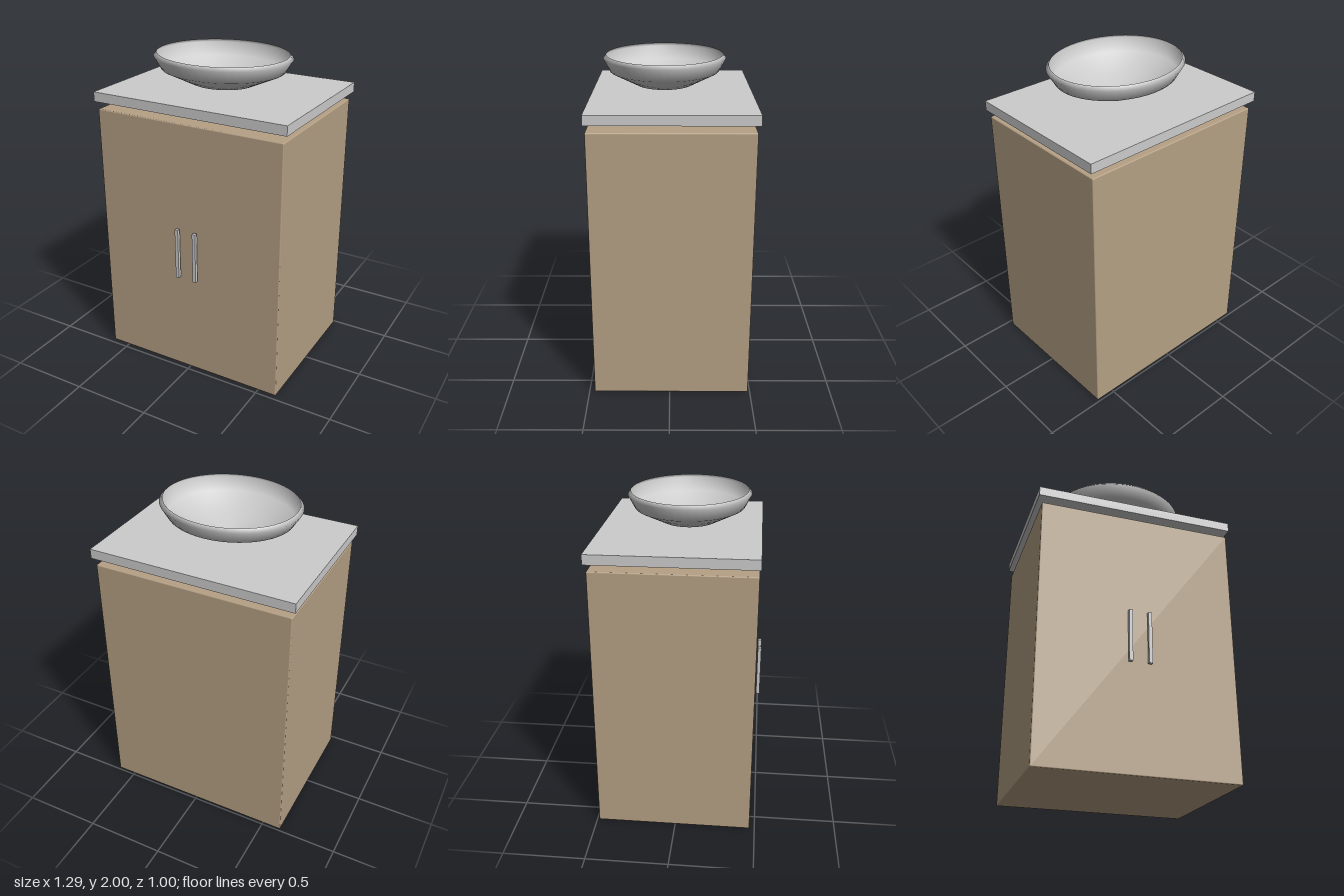
import * as THREE from 'three';
import { RoundedBoxGeometry } from 'three/addons/geometries/RoundedBoxGeometry.js';

export function createModel() {
  const model = new THREE.Group();
  const grey = new THREE.MeshStandardMaterial({ color: 0xcccccc });
  const wood = new THREE.MeshStandardMaterial({ color: 0xb5a084 });
  const basinGrey = new THREE.MeshStandardMaterial({ color: 0xcccccc, side: THREE.DoubleSide });

  const add = (name, geometry, material, x, y, z) => {
    const mesh = new THREE.Mesh(geometry, material);
    mesh.name = name;
    mesh.position.set(x, y, z);
    model.add(mesh);
    return mesh;
  };

  // Cabinet with finely eased edges
  add('cabinet', new RoundedBoxGeometry(1.245, 1.67, 0.955, 2, 0.007), wood, 0, 0.835, -0.01);

  // Countertop, floating just above the cabinet
  add('countertop', new THREE.BoxGeometry(1.286, 0.06, 0.976), grey, 0, 1.745, -0.013);

  // Pair of vertical bar handles
  for (const side of [-1, 1]) {
    add(side > 0 ? 'leftHandle' : 'rightHandle',
      new THREE.BoxGeometry(0.022, 0.33, 0.022), grey, side * 0.061, 0.835, 0.489);
  }

  // Oval vessel basin: a thin lathed shell squeezed front to back
  const profile = [[0, 0], [0.2, 0.042], [0.388, 0.127], [0.435, 0.203], [0.412, 0.225]]
    .map(([r, y]) => new THREE.Vector2(r, y));
  const basin = add('basin', new THREE.LatheGeometry(profile, 48), basinGrey, 0, 1.775, 0.033);
  basin.scale.z = 0.858;

  return model;
}
